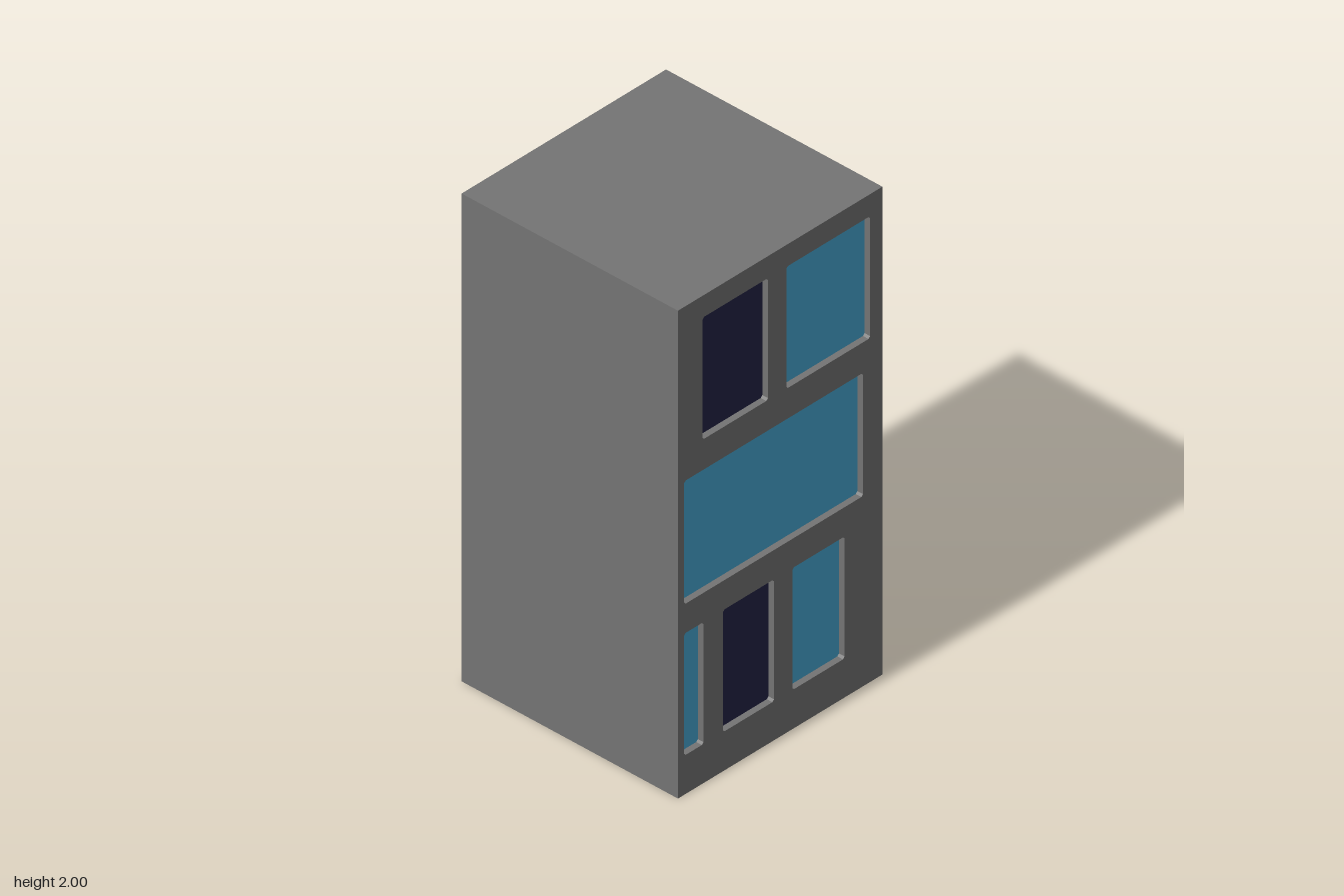
import * as THREE from 'three';

const DEPTH = 0.03; // depth of the window recesses
const PLATE = 0.004; // thickness of the glass plates

// Each window: [left, right, bottom, top, lit]
const FRONT = [
  [-0.38, -0.06, 1.41, 1.91, false], [0.03, 0.44, 1.41, 1.91, true],
  [-0.47, 0.405, 0.78, 1.285, true],
  [-0.47, -0.375, 0.16, 0.66, true], [-0.28, -0.03, 0.16, 0.66, false], [0.06, 0.315, 0.16, 0.66, true],
];
const SIDE = [
  [-0.44, 0.25, 1.41, 1.88, false], [0.34, 0.47, 1.41, 1.88, true],
  [-0.405, -0.19, 0.78, 1.285, true], [-0.09, 0.47, 0.78, 1.285, false],
  [-0.38, 0.345, 0.16, 0.66, false],
];

// Opening with tiny clipped corners
function openingPoints([l, r, b, t]) {
  const c = 0.008;
  return [
    [l + c, b], [r - c, b], [r, b + c], [r, t - c],
    [r - c, t], [l + c, t], [l, t - c], [l, b + c],
  ].map(([x, y]) => new THREE.Vector2(x, y));
}

// Pierced wall panel with glass at the back of every opening, outer face at z = 0.5
function facade(name, left, right, windows, mats) {
  const group = new THREE.Group();
  group.name = name;
  const shape = new THREE.Shape([[left, 0], [right, 0], [right, 2], [left, 2]].map(([x, y]) => new THREE.Vector2(x, y)));
  shape.holes = windows.map((w) => new THREE.Path(openingPoints(w).reverse()));
  const wall = new THREE.Mesh(new THREE.ExtrudeGeometry(shape, { depth: DEPTH, bevelEnabled: false }), mats.wall);
  wall.name = name + 'Wall';
  wall.position.z = 0.5 - DEPTH;
  group.add(wall);

  for (const w of windows) {
    const geometry = new THREE.ExtrudeGeometry(new THREE.Shape(openingPoints(w)), { depth: PLATE, bevelEnabled: false });
    const pane = new THREE.Mesh(geometry, w[4] ? mats.blueGlass : mats.darkGlass);
    pane.name = w[4] ? 'blueWindow' : 'darkWindow';
    pane.position.z = 0.5 - DEPTH;
    group.add(pane);
  }
  return group;
}

export function createModel() {
  const material = (name, color) => new THREE.MeshStandardMaterial({ name, color });
  const mats = {
    wall: material('concrete', 0x747474),
    blueGlass: material('blueGlass', 0x48aad5),
    darkGlass: material('darkGlass', 0x242446),
  };
  const model = new THREE.Group();
  model.name = 'building';

  // Solid block behind the two pierced facades
  const core = new THREE.Mesh(new THREE.BoxGeometry(1 - DEPTH, 2, 1 - DEPTH), mats.wall);
  core.name = 'buildingCore';
  core.position.set(-DEPTH / 2, 1, -DEPTH / 2);
  model.add(core);

  // Front facade, and the +x facade butting against its back
  model.add(facade('frontFacade', -0.5, 0.5, FRONT, mats));
  const side = facade('sideFacade', -0.5 + DEPTH, 0.5, SIDE, mats);
  side.rotation.y = Math.PI / 2;
  model.add(side);

  return model;
}
